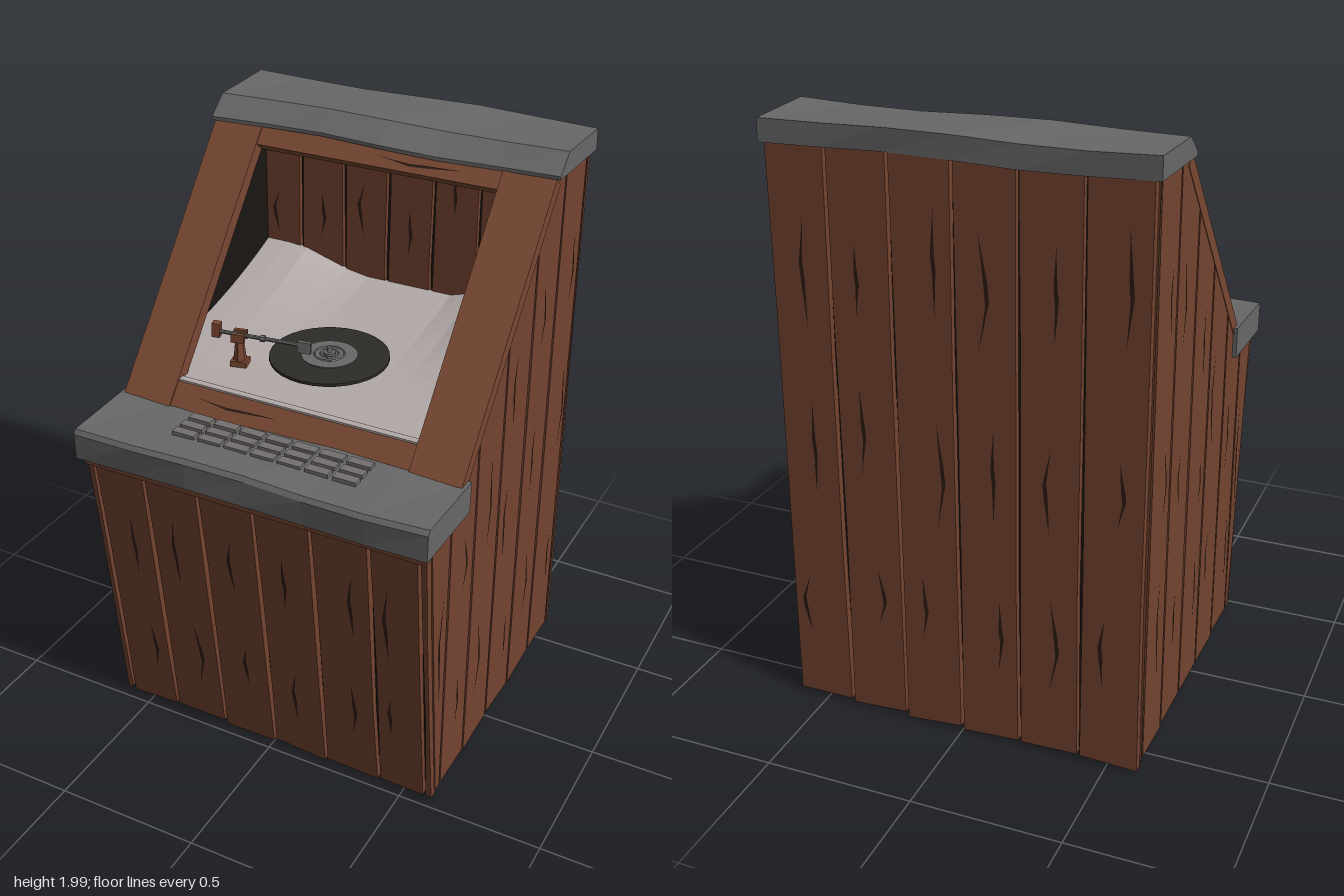
import * as THREE from 'three';

const material = (color, side = THREE.FrontSide) =>
  new THREE.MeshStandardMaterial({ color, side, flatShading: true });

export function createModel() {
  const model = new THREE.Group();
  model.name = 'recordCabinet';
  const wood = material(0x744430);
  const frameWood = material(0x7a4832);
  const dark = material(0x1a1512);
  const crackMat = material(0x2e1b13, THREE.DoubleSide);
  const metal = material(0x686868);
  const keyMat = material(0x757070);
  const sheetMat = material(0xb3aaa8, THREE.DoubleSide);
  const vinyl = material(0x2d2b27);

  let seed = 7;
  const rand = (a, b) => {
    seed = (seed * 16807) % 2147483647;
    return a + (b - a) * (seed / 2147483647);
  };
  const add = (parent, name, geometry, mat, x = 0, y = 0, z = 0) => {
    const mesh = new THREE.Mesh(geometry, mat);
    mesh.name = name;
    mesh.position.set(x, y, z);
    parent.add(mesh);
    return mesh;
  };
  const group = (name, x = 0, y = 0, z = 0) => {
    const g = new THREE.Group();
    g.name = name;
    g.position.set(x, y, z);
    model.add(g);
    return g;
  };
  const box = (w, h, d) => new THREE.BoxGeometry(w, h, d);
  const toShape = (pts) => new THREE.Shape(pts.map(([a, b]) => new THREE.Vector2(a, b)));

  // Solid with a [z, y] side profile, running from x0 to x1
  const prism = (pts, x0, x1, steps = 1) => {
    const g = new THREE.ExtrudeGeometry(toShape(pts.map(([z, y]) => [-z, y])),
      { depth: x1 - x0, steps, bevelEnabled: false });
    return g.rotateY(Math.PI / 2).translate(x0, 0, 0);
  };
  // Smooth hand-hewn waviness that keeps shared corners together
  const warp = (g, amount) => {
    const p = g.attributes.position;
    for (let i = 0; i < p.count; i++) {
      const x = p.getX(i), y = p.getY(i), z = p.getZ(i);
      p.setY(i, y + amount * Math.sin(x * 7 + z * 9 + y * 3));
      p.setZ(i, z + amount * 0.7 * Math.sin(x * 9 + y * 20));
    }
    g.computeVertexNormals();
    return g;
  };
  // Plank outline: ragged straight edges, custom top points listed left to right
  const plank = (parent, u0, u1, bottom, top, depth = 0.03) => {
    const gap = 0.005;
    const topPts = top.map(([u, y]) => [THREE.MathUtils.clamp(u, u0 + gap, u1 - gap), y]);
    const pts = [[u0 + gap, bottom + rand(-0.012, 0.008)], [u1 - gap, bottom + rand(-0.012, 0.008)]];
    const yr = topPts[topPts.length - 1][1], yl = topPts[0][1];
    for (const t of [0.3, 0.65]) pts.push([u1 - gap - rand(0, 0.005), bottom + (yr - bottom) * t]);
    pts.push(...topPts.slice().reverse());
    for (const t of [0.7, 0.35]) pts.push([u0 + gap + rand(0, 0.005), bottom + (yl - bottom) * t]);
    add(parent, 'plank', new THREE.ExtrudeGeometry(toShape(pts), { depth, bevelEnabled: false }), wood, 0, 0, -depth);
  };
  // Thin bent split in the wood
  const crack = (parent, u, y, length, width = 0.012) => {
    const b = rand(-0.025, 0.025);
    add(parent, 'woodCrack', new THREE.ShapeGeometry(toShape([
      [0, -length / 2], [b + width, -length * 0.06], [b + width * 0.6, length * 0.1],
      [width * 0.3, length / 2], [b - width * 0.4, length * 0.08], [b, -length * 0.1],
    ])), crackMat, u, y, 0.002);
  };
  const crackPlank = (parent, u0, u1, y0, y1) => {
    const count = y1 - y0 > 1.3 ? 3 : 2;
    for (let i = 0; i < count; i++) {
      const h = (y1 - y0) / count;
      crack(parent, (u0 + u1) / 2 + rand(-0.04, 0.04), y0 + h * (i + rand(0.4, 0.6)), h * rand(0.35, 0.65));
    }
  };

  // Dark core behind the plank seams, and the dark lining of the display space
  add(model, 'core', prism([[-0.585, 0.03], [0.45, 0.03], [0.55, 1.07], [0.33, 1.1], [0.28, 1.2], [-0.585, 1.2]],
    -0.588, 0.588), dark);
  const lining = [[-0.585, 1.15], [0.32, 1.15], [-0.31, 1.92], [-0.585, 1.92]];
  add(model, 'leftLining', prism(lining, 0.57, 0.588), dark);
  add(model, 'rightLining', prism(lining, -0.588, -0.57), dark);
  add(model, 'backLining', box(1.17, 0.78, 0.015), dark, 0, 1.54, -0.58);

  // Leaning front wall
  const front = group('frontWall', 0, 0.02, 0.47);
  front.rotation.x = Math.atan(0.11 / 1.05);
  const frontSeams = [-0.608, -0.578, -0.39, -0.19, 0.01, 0.21, 0.41, 0.578, 0.608];
  for (let i = 0; i < frontSeams.length - 1; i++) {
    const a = frontSeams[i], b = frontSeams[i + 1];
    plank(front, a, b, 0, [[a, 1.06], [b, 1.06]]);
    if (b - a > 0.1) crackPlank(front, a, b, 0.05, 1);
  }
  add(front, 'frontTrim', box(1.21, 0.035, 0.04), frameWood, 0, 1.04, -0.01);

  // Back wall
  const back = group('backWall', 0, 0, -0.61);
  back.rotation.y = Math.PI;
  for (let i = 0; i < 6; i++) {
    const a = -0.606 + i * 0.202;
    plank(back, a, a + 0.202, 0.014, [[a, 1.93], [a + 0.202, 1.93]]);
    crackPlank(back, a, a + 0.202, 0.1, 1.85);
  }

  // Planks on the rear of the display space
  const inner = group('innerBackWall', 0, 0, -0.55);
  for (let i = 0; i < 7; i++) {
    const a = -0.6 + i * 0.1714;
    plank(inner, a, a + 0.1714, 1.2, [[a, 1.92], [a + 0.1714, 1.92]], 0.02);
    crack(inner, a + 0.08, rand(1.5, 1.7), rand(0.15, 0.28));
  }

  // Side walls, cut along the sloping front
  const slopeTop = (z) => (z <= -0.29 ? 1.92 : z <= 0.34 ? 1.91 - (z + 0.29) * 1.175 : 1.12);
  const sideSeams = [-0.585, -0.57, -0.38, -0.18, 0.02, 0.22, 0.41];
  for (const s of [1, -1]) {
    const side = group(s > 0 ? 'leftWall' : 'rightWall', s * 0.606, 0, 0);
    side.rotation.y = s * Math.PI / 2;
    for (let i = 0; i < sideSeams.length - 1; i++) {
      const z0 = sideSeams[i], z1 = sideSeams[i + 1];
      const top = [z0, -0.29, 0.34, z1].filter((z) => z >= z0 && z <= z1)
        .map((z) => [-s * z, slopeTop(z)]);
      if (s > 0) top.reverse();
      plank(side, Math.min(-s * z0, -s * z1), Math.max(-s * z0, -s * z1), 0.03, top);
      if (z1 - z0 > 0.1) crackPlank(side, -s * z0, -s * z1, 0.1, Math.min(slopeTop(z0), slopeTop(z1)) - 0.05);
    }
    // Tapered board meeting the leaning front
    add(side, 'cornerBoard', new THREE.ExtrudeGeometry(toShape(
      [[0.415, 0.03], [0.445, 0.03], [0.55, 1.09], [0.415, 1.09]].map(([z, y]) => [-s * z, y])),
    { depth: 0.03, bevelEnabled: false }), wood, 0, 0, -0.03);
    crack(side, -s * 0.45, 0.62, 0.45);
  }

  // Sloping window frame
  const frame = group('windowFrame', 0, 1.18, 0.34);
  frame.rotation.x = -Math.atan(0.63 / 0.74);
  for (const s of [1, -1]) {
    add(frame, 'stile', box(0.178, 0.99, 0.045), frameWood, s * 0.519, 0.48, -0.02);
    crack(frame, s * 0.5, 0.68, 0.22);
    crack(frame, s * 0.54, 0.28, 0.26);
  }
  add(frame, 'topRail', box(0.9, 0.07, 0.04), frameWood, 0, 0.945, -0.022);
  add(frame, 'bottomRail', box(0.9, 0.09, 0.04), frameWood, 0, 0.035, -0.022);
  const railCrack = new THREE.Group();
  railCrack.rotation.z = Math.PI / 2;
  frame.add(railCrack);
  crack(railCrack, 0.04, 0.2, 0.3, 0.008);
  crack(railCrack, 0.945, -0.15, 0.3, 0.008);

  // Metal cap and control shelf
  add(model, 'topCap', warp(prism([[-0.615, 1.92], [-0.285, 1.92], [-0.285, 1.932], [-0.355, 1.992], [-0.615, 1.992]],
    -0.62, 0.62, 6), 0.005), metal);
  add(model, 'controlShelf', warp(prism([[0.305, 1.07], [0.612, 1.07], [0.616, 1.16], [0.605, 1.176], [0.305, 1.176]],
    -0.62, 0.62, 6), 0.005), metal);

  // Selector keys
  const keys = group('selectorKeys');
  for (const z of [0.38, 0.43, 0.477])
    for (let i = -3; i <= 3; i++) add(keys, 'key', box(0.08, 0.02, 0.033), keyMat, i * 0.095, 1.178, z);

  // Curved deck sheet, lifting toward the rear corners
  const sheet = new THREE.PlaneGeometry(1.14, 0.83, 14, 12).rotateX(-Math.PI / 2).translate(0, 0, -0.14);
  const sp = sheet.attributes.position;
  for (let i = 0; i < sp.count; i++) {
    const x = sp.getX(i), t = (0.275 - sp.getZ(i)) / 0.83;
    const corner = THREE.MathUtils.clamp((Math.abs(x) - 0.2) / 0.23, 0, 1);
    sp.setY(i, 1.24 + 0.085 * t * t + corner * t * t * (x > 0 ? 0.13 : 0.07));
  }
  sheet.computeVertexNormals();
  add(model, 'deckSheet', sheet, sheetMat);
  add(model, 'deckLip', box(0.9, 0.014, 0.025), sheetMat, 0, 1.238, 0.272);

  // Record on its platter
  const record = group('record', -0.03, 1.29, -0.01);
  const disc = (name, r, h, y, mat) => add(record, name, new THREE.CylinderGeometry(r, r, h, 32), mat, 0, y, 0);
  disc('platter', 0.09, 0.05, -0.03, metal);
  disc('vinylDisc', 0.199, 0.01, 0, vinyl);
  disc('label', 0.094, 0.006, 0.005, metal);
  for (const r of [0.05, 0.03])
    add(record, 'labelRing', new THREE.TorusGeometry(r, 0.003, 4, 24).rotateX(Math.PI / 2), keyMat, 0, 0.009, 0);
  disc('spindleBase', 0.02, 0.014, 0.01, metal);
  disc('spindle', 0.008, 0.03, 0.018, keyMat);

  // Tonearm: wooden post, yoke, counterweight, arm and head
  const arm = group('tonearm', -0.305, 1.25, 0.103);
  arm.rotation.y = 0.235;
  add(arm, 'foot', box(0.055, 0.02, 0.05), frameWood, 0, 0.005, 0);
  add(arm, 'post', new THREE.CylinderGeometry(0.013, 0.024, 0.1, 6), frameWood, 0, 0.05, 0);
  for (const s of [1, -1]) add(arm, 'yoke', box(0.045, 0.03, 0.014), frameWood, 0, 0.1, s * 0.018);
  add(arm, 'yokeBase', box(0.025, 0.012, 0.045), frameWood, 0, 0.09, 0);
  const beam = new THREE.Group();
  beam.name = 'beam';
  beam.position.y = 0.105;
  beam.rotation.z = -0.06;
  arm.add(beam);
  add(beam, 'rod', new THREE.CylinderGeometry(0.007, 0.007, 0.31, 8).rotateZ(Math.PI / 2), metal, 0.085, 0, 0);
  add(beam, 'counterweight', box(0.028, 0.05, 0.026), frameWood, -0.078, 0.006, 0);
  add(beam, 'collar', new THREE.CylinderGeometry(0.012, 0.012, 0.016, 8).rotateZ(Math.PI / 2), metal, 0.08, 0, 0);
  add(beam, 'head', box(0.045, 0.04, 0.014), metal, 0.222, -0.006, 0);

  return model;
}
